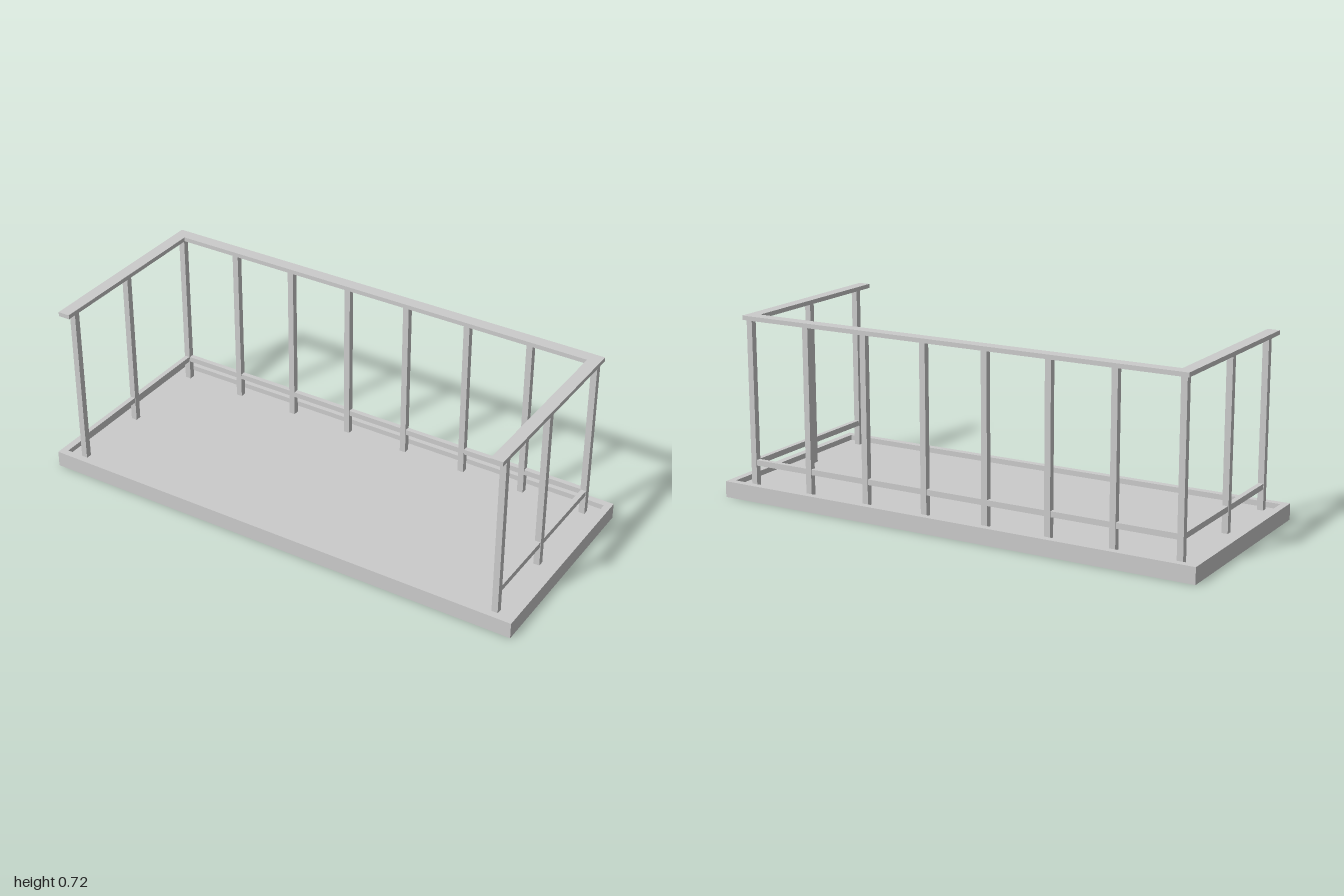
import * as THREE from 'three';

const material = new THREE.MeshStandardMaterial({ color: 0xcccccc, flatShading: true });

// Box given by its minimum and maximum corners
function box(name, [x0, y0, z0], [x1, y1, z1]) {
  const mesh = new THREE.Mesh(new THREE.BoxGeometry(x1 - x0, y1 - y0, z1 - z0), material);
  mesh.name = name;
  mesh.position.set((x0 + x1) / 2, (y0 + y1) / 2, (z0 + z1) / 2);
  return mesh;
}

// Flat plan outline in [x, z], raised from y0 to y1
function slab(name, outline, y0, y1, hole) {
  const toPoints = (list) => list.map(([x, z]) => new THREE.Vector2(x, -z));
  const shape = new THREE.Shape(toPoints(outline));
  if (hole) shape.holes.push(new THREE.Path(toPoints(hole)));
  const geometry = new THREE.ExtrudeGeometry(shape, { depth: y1 - y0, bevelEnabled: false });
  geometry.rotateX(-Math.PI / 2);
  const mesh = new THREE.Mesh(geometry, material);
  mesh.name = name;
  mesh.position.y = y0;
  return mesh;
}

const rect = (x, z) => [[-x, z], [x, z], [x, -z], [-x, -z]];

export function createModel() {
  const model = new THREE.Group();
  model.name = 'balcony';

  const baseTop = 0.064, deckTop = 0.043, deckBottom = 0.022;
  const railBottom = 0.7, railTop = 0.717;
  const postX = 0.91, backZ = -0.341, frontZ = 0.357;
  const half = 0.0122;

  // Rim around the base with the floor set into it
  model.add(slab('baseFrame', rect(1, 0.419), 0, baseTop, rect(0.972, 0.391)));
  model.add(box('deck', [-0.972, deckBottom, -0.391], [0.972, deckTop, 0.391]));

  // Posts: eight along the back, two more on each side
  const posts = new THREE.Group();
  posts.name = 'posts';
  const addPost = (x, z) =>
    posts.add(box('post', [x - half, deckTop, z - half], [x + half, railBottom, z + half]));
  for (let i = 0; i < 8; i++) addPost(-postX + (i * 2 * postX) / 7, backZ);
  for (const side of [-1, 1]) {
    for (const z of [(backZ + frontZ) / 2 + 0.026, frontZ]) addPost(side * postX, z);
  }
  model.add(posts);

  // Low rails joining the posts
  const low = 0.125, high = 0.147, r = 0.01;
  model.add(box('backLowerRail', [-postX, low, backZ - r], [postX, high, backZ + r]));
  for (const side of [-1, 1]) {
    const x = side * postX;
    model.add(box(side > 0 ? 'leftLowerRail' : 'rightLowerRail',
      [x - r, low, backZ], [x + r, high, frontZ]));
  }

  // U-shaped handrail, open at the front
  model.add(slab('handrail', [
    [-0.933, 0.419], [-0.885, 0.419], [-0.885, -0.316], [0.885, -0.316],
    [0.885, 0.419], [0.933, 0.419], [0.933, -0.365], [-0.933, -0.365],
  ], railBottom, railTop));

  return model;
}
